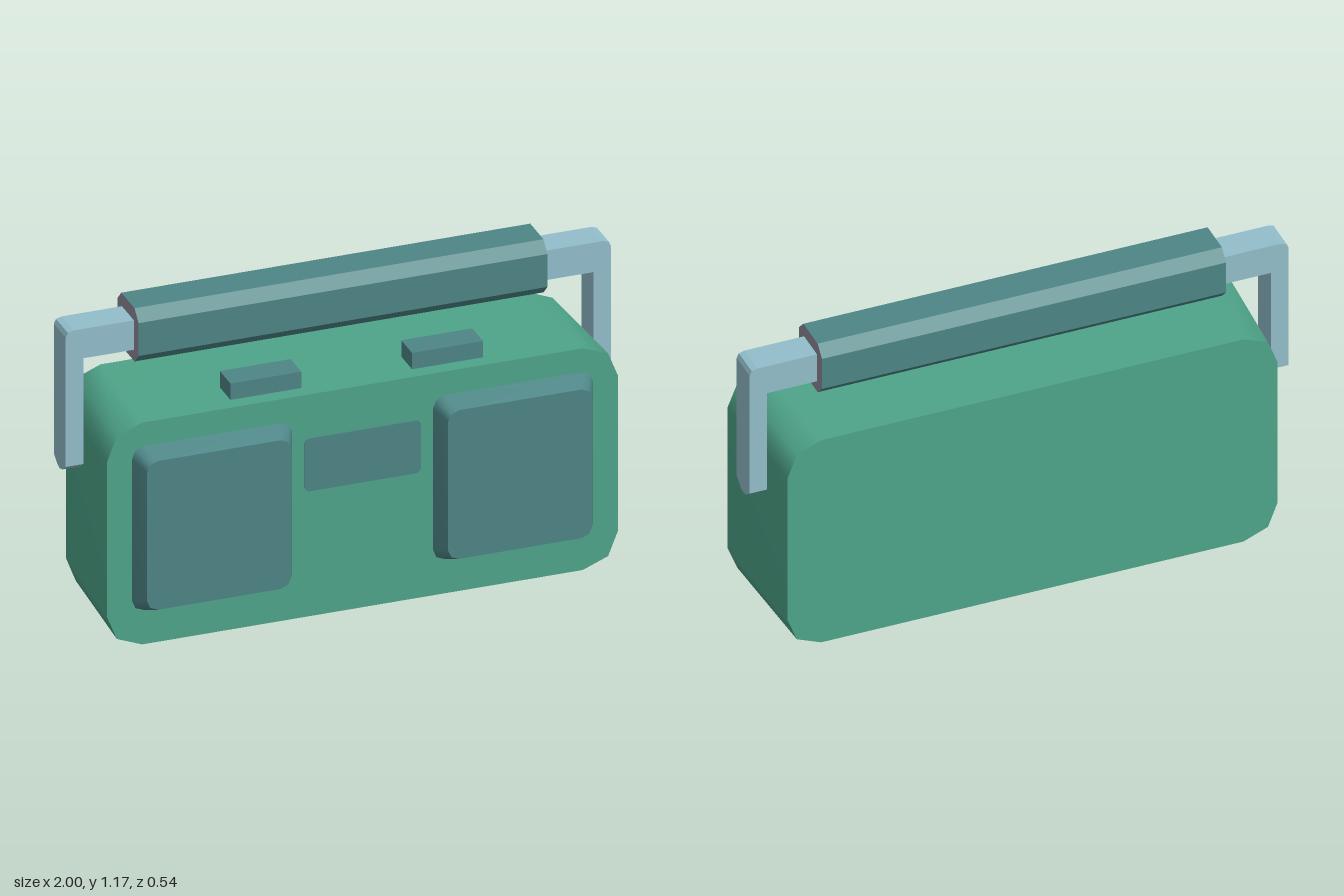
import * as THREE from 'three';

const paint = (name, color) => Object.assign(new THREE.MeshStandardMaterial({ color }), { name });

// Closed outline (counter-clockwise) of a box with corners cut through one middle point
function outline(x0, x1, y0, y1, r, mid) {
  const pts = [];
  const corners = [[x1, y0, -1, 1, 0], [x1, y1, -1, -1, 1], [x0, y1, 1, -1, 0], [x0, y0, 1, 1, 1]];
  for (const [x, y, sx, sy, flip] of corners) {
    const cut = [[r, 0]];
    if (mid !== undefined) cut.push([mid, mid]);
    cut.push([0, r]);
    if (flip) cut.reverse();
    for (const [a, b] of cut) pts.push([x + sx * a, y + sy * b]);
  }
  return pts;
}

// Skin between two outlines with flat caps; group 0 is the skin, group 1 the caps
function loft(back, front, z0, z1, flat = false) {
  const n = back.length, pos = [], idx = [];
  const ring = (pts, z) => pts.forEach(([x, y]) => pos.push(x, y, z));
  ring(back, z0); ring(front, z1); ring(back, z0); ring(front, z1);
  for (let i = 0; i < n; i++) {
    const j = (i + 1) % n;
    idx.push(i, j, n + j, i, n + j, n + i);
  }
  const sideCount = idx.length;
  for (let i = 1; i < n - 1; i++) {
    idx.push(2 * n, 2 * n + i + 1, 2 * n + i);
    idx.push(3 * n, 3 * n + i, 3 * n + i + 1);
  }
  let geo = new THREE.BufferGeometry();
  geo.setAttribute('position', new THREE.Float32BufferAttribute(pos, 3));
  geo.setIndex(idx);
  if (flat) geo = geo.toNonIndexed();
  geo.computeVertexNormals();
  geo.addGroup(0, sideCount, 0);
  geo.addGroup(sideCount, idx.length - sideCount, 1);
  return geo;
}

const shapeOf = (pts) => new THREE.Shape(pts.map(([x, y]) => new THREE.Vector2(x, y)));

export function createModel() {
  const green = paint('body green', 0x4ea489);
  const teal = paint('trim teal', 0x4d8586);
  const blue = paint('handle blue', 0x92becb);
  const grey = paint('grip end grey', 0x8e8a9a);

  const model = new THREE.Group();
  model.name = 'portableRadio';
  const add = (name, geo, mat, x = 0, y = 0, z = 0) => {
    const mesh = new THREE.Mesh(geo, mat);
    mesh.name = name;
    mesh.position.set(x, y, z);
    model.add(mesh);
    return mesh;
  };

  // Body, slightly narrower at the back
  const face = outline(-0.938, 0.938, 0, 0.85, 0.13, 0.037);
  const rear = face.map(([x, y]) => [x * 0.97, y]);
  add('body', loft(rear, face, -0.27, 0.2), [green, green]);

  // Speakers and top buttons, one of each per side
  for (const [side, s] of [['left', 1], ['right', -1]]) {
    const base = outline(-0.295, 0.295, 0.13, 0.76, 0.045, 0.013);
    const front = outline(-0.265, 0.265, 0.16, 0.73, 0.04, 0.012);
    add(side + 'Speaker', loft(base, front, 0.198, 0.27), [teal, teal], s * 0.552);
    add(side + 'Button', new THREE.BoxGeometry(0.26, 0.065, 0.104), teal, s * 0.333, 0.88, 0.092);
  }

  // Display panel
  const panel = outline(-0.213, 0.213, 0.48, 0.682, 0.016, 0.005);
  add('display', loft(panel, panel, 0.198, 0.203), [teal, teal]);

  // Handle frame: an upside-down U
  const half = [[0.935, 0.605], [1, 0.605], [1, 1.1], [0.992, 1.117], [0.97, 1.123]];
  const mirrored = half.map(([x, y]) => [-x, y]).reverse();
  const frame = shapeOf([[0.935, 1.01], ...half, ...mirrored, [-0.935, 1.01]]);
  add('handleFrame', new THREE.ExtrudeGeometry(frame, { depth: 0.116, bevelEnabled: false }), blue, 0, 0, -0.15);

  // Rounded lower ends of the handle arms
  const tip = shapeOf([[-0.058, 0.605], [-0.025, 0.58], [0, 0.573], [0.025, 0.58], [0.058, 0.605]]);
  const tipGeo = new THREE.ExtrudeGeometry(tip, { depth: 0.065, bevelEnabled: false });
  for (const [side, x] of [['left', 0.935], ['right', -1]]) {
    add(side + 'ArmTip', tipGeo, blue, x, 0, -0.092).rotation.y = Math.PI / 2;
  }

  // Eight-sided grip with grey ends
  const section = outline(-0.103, 0.103, 0.968, 1.172, 0.039);
  add('grip', loft(section, section, -0.75, 0.75, true), [teal, grey], 0, 0, -0.092).rotation.y = Math.PI / 2;

  return model;
}
